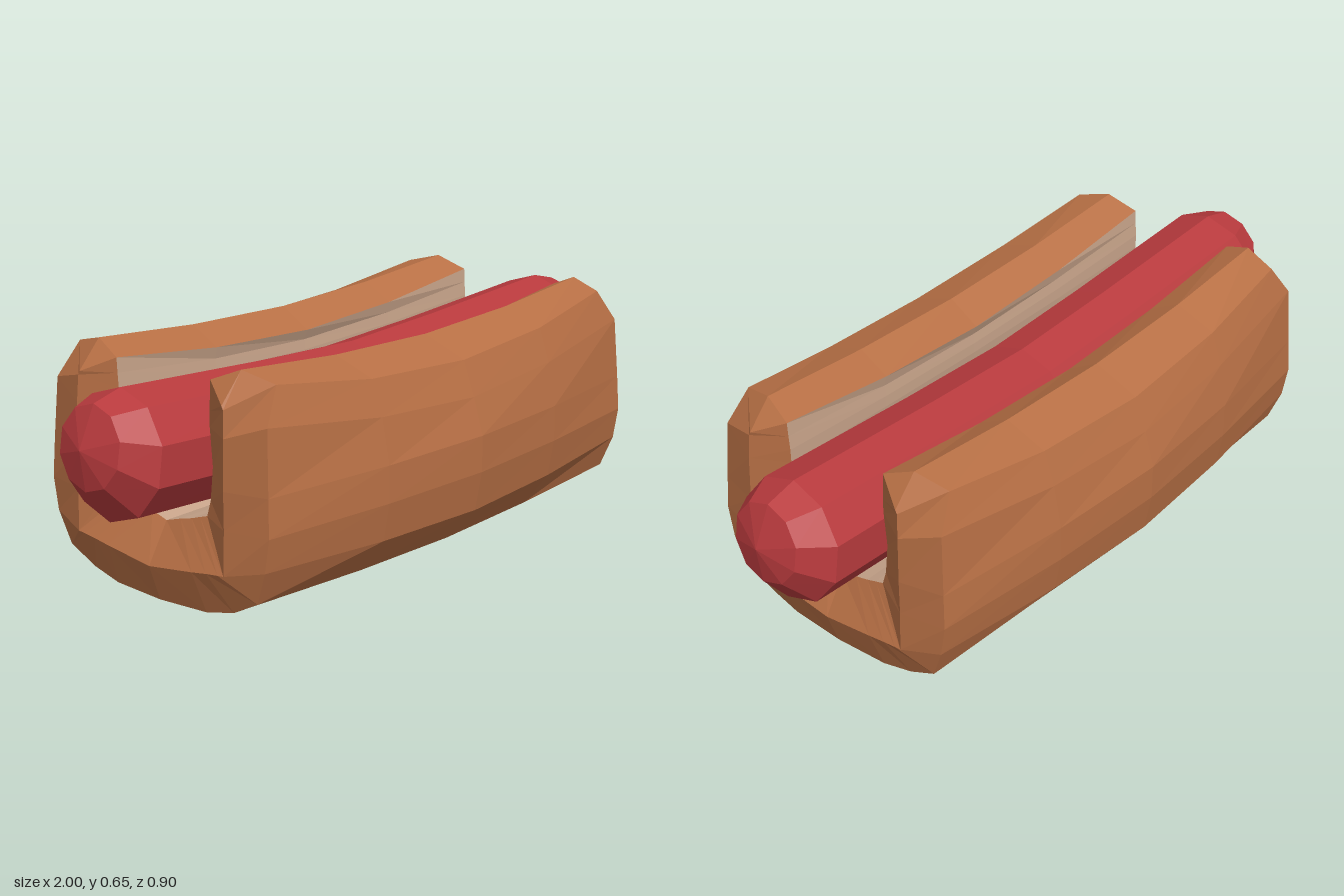
import * as THREE from 'three';

const material = (color) => new THREE.MeshStandardMaterial({ color, flatShading: true, side: THREE.DoubleSide });

// Skin a grid of points: rows run along x, columns run around the section
function loft(name, rows, color, flip = false) {
  const n = rows[0].length;
  const index = [];
  for (let r = 0; r < rows.length - 1; r++) {
    for (let c = 0; c < n - 1; c++) {
      const a = r * n + c, b = a + 1, d = a + n, e = d + 1;
      index.push(...(flip ? [a, d, b, b, d, e] : [a, b, d, b, e, d]));
    }
  }
  const geometry = new THREE.BufferGeometry();
  geometry.setAttribute('position', new THREE.Float32BufferAttribute(rows.flat(2), 3));
  geometry.setIndex(index);
  geometry.computeVertexNormals();
  const mesh = new THREE.Mesh(geometry, material(color));
  mesh.name = name;
  return mesh;
}

// Half section of [x, y, z] points to a full one, mirrored in z
const fullSection = (half) => [...half, ...half.slice(0, -1).reverse().map(([x, y, z]) => [x, y, -z])];
// Rows for the +x half, centre first, mirrored to the -x half
const mirrorRows = (rows) => [
  ...rows.slice(1).reverse().map((row) => row.map(([x, y, z]) => [-x, y, z])), ...rows];
const mix = (a, b, t) => a.map((p, i) => p.map((v, k) => v + (b[i][k] - v) * t));
const atX = (section, x) => section.map(([, y, z]) => [x, y, z]);

// Bun half sections, from the inner top edge over the outside to the bottom
const middle = [[0, 0.56, 0.165], [0, 0.615, 0.255], [0, 0.565, 0.385], [0, 0.47, 0.42], [0, 0.37, 0.45],
  [0, 0.27, 0.45], [0, 0.16, 0.43], [0, 0.06, 0.335], [0, 0.03, 0.25], [0, 0.01, 0.16], [0, 0, 0]];
const rim = [[0.72, 0.62, 0.165], [0.70, 0.655, 0.25], [0.68, 0.63, 0.345], [0.74, 0.54, 0.37], [0.75, 0.37, 0.38],
  [0.755, 0.27, 0.385], [0.755, 0.18, 0.37], [0.745, 0.09, 0.335], [0.74, 0.045, 0.25], [0.745, 0.025, 0.16], [0.75, 0.02, 0]];
const ridge = [[0.72, 0.62, 0.165], [0.77, 0.58, 0.25], [0.77, 0.57, 0.255], [0.775, 0.5, 0.258], [0.78, 0.37, 0.26],
  [0.78, 0.27, 0.26], [0.785, 0.155, 0.26], [0.785, 0.153, 0.24], [0.785, 0.148, 0.2], [0.785, 0.14, 0.15], [0.785, 0.12, 0]];
// Edge of the slot that holds the sausage
const lip = [[0.72, 0.62, 0.165], [0.72, 0.58, 0.163], [0.72, 0.54, 0.16], [0.72, 0.5, 0.16], [0.72, 0.4, 0.168],
  [0.72, 0.31, 0.158], [0.72, 0.268, 0.145], [0.72, 0.26, 0.12], [0.72, 0.25, 0.09], [0.72, 0.24, 0.05], [0.72, 0.225, 0]];

function makeBun() {
  const bun = new THREE.Group();
  bun.name = 'bun';
  const crust = [middle, atX(mix(middle, rim, 0.3), 0.36), rim, ridge, lip].map(fullSection);
  bun.add(loft('crust', mirrorRows(crust), 0xb87045));

  // Cut faces: the slot is lower and slightly wider at the middle
  const slotMiddle = lip.map(([, y, z], i) => [0, y - 0.06 * Math.max(0, (y - 0.4) / 0.22),
    z + (i > 0 && i < 7 ? 0.014 : 0)]);
  const slot = [slotMiddle, atX(mix(slotMiddle, lip, 0.3), 0.36), lip].map(fullSection);
  bun.add(loft('cutFaces', mirrorRows(slot), 0xc8a48a, true));
  return bun;
}

// Ten-sided sausage, sagging in the middle, its end rings tilted with the bend
function makeSausage() {
  const ring = ([x, y, radius, tilt]) => Array.from({ length: 11 }, (_, i) => {
    const a = (i / 10) * Math.PI * 2;
    const up = radius * Math.cos(a);
    return [x - tilt * up, y + up, radius * Math.sin(a)];
  });
  const rows = [[0, 0.39, 0.165, 0], [0.36, 0.405, 0.165, 0.05], [0.885, 0.435, 0.166, 0.15],
    [0.967, 0.472, 0.107, 0.17], [1, 0.472, 0, 0]].map(ring);
  return loft('sausage', mirrorRows(rows), 0xb83a3d);
}

export function createModel() {
  const model = new THREE.Group();
  model.name = 'hotDog';
  model.add(makeBun(), makeSausage());
  return model;
}
